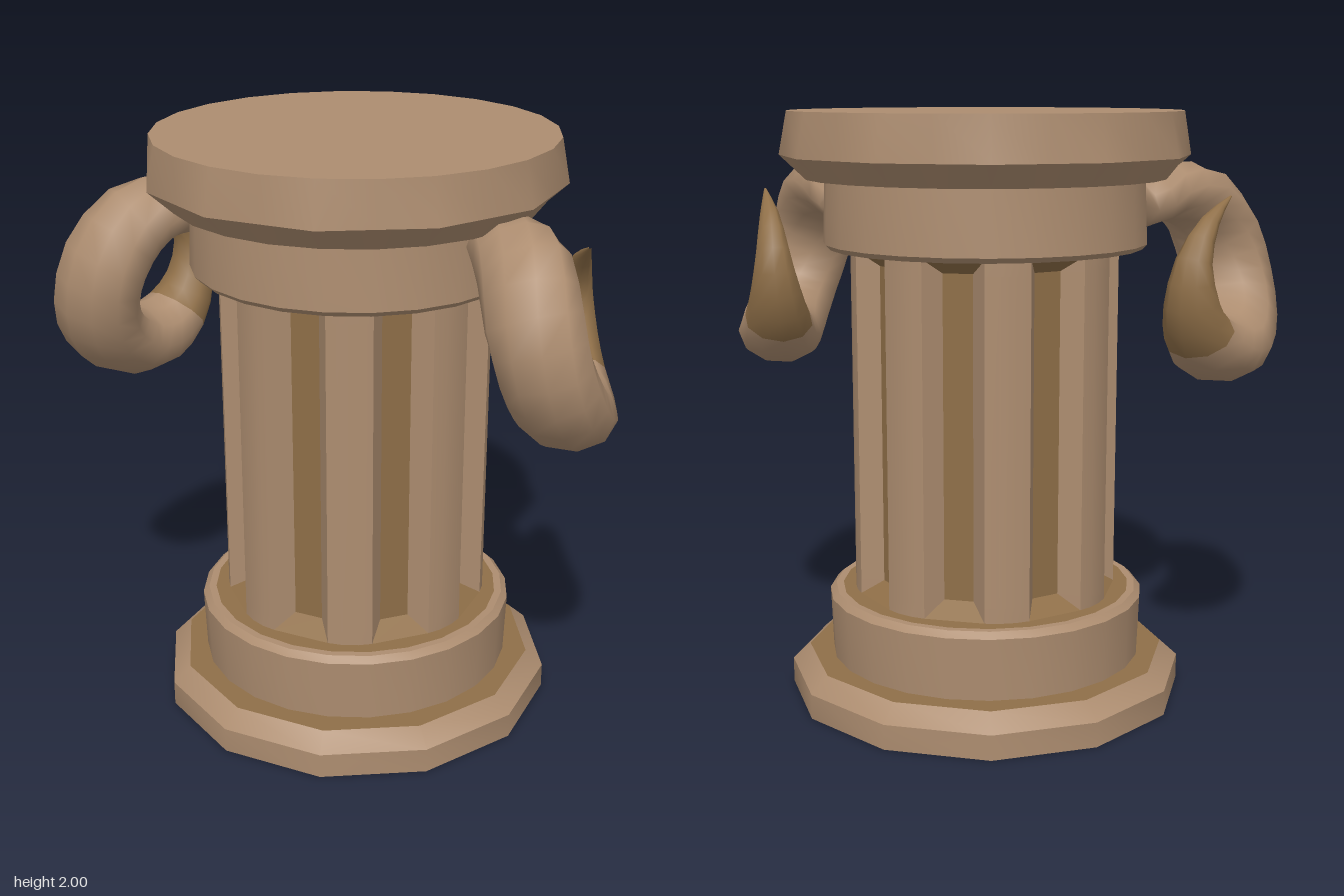
import * as THREE from 'three';
import { toCreasedNormals } from 'three/addons/utils/BufferGeometryUtils.js';

const RAD = Math.PI / 180;

export function createModel() {
  const model = new THREE.Group();
  const stone = new THREE.MeshStandardMaterial({ name: 'stone', color: 0xad8d70 });
  const darkStone = new THREE.MeshStandardMaterial({ name: 'darkStone', color: 0x8f6f48 });

  function add(name, geometry, material) {
    const mesh = new THREE.Mesh(geometry, material);
    mesh.name = name;
    model.add(mesh);
    return mesh;
  }

  // Turned part: profile of [radius, y] from bottom to top
  function turned(name, profile, sides, material, adjust) {
    const pts = profile.map(([r, y]) => new THREE.Vector2(r, y));
    const geo = new THREE.LatheGeometry(pts, sides, 15 * RAD);
    if (adjust) adjust(geo.attributes.position, profile.length);
    return add(name, toCreasedNormals(geo, 0.6), material);
  }

  // Plinth and lower drum
  turned('plinth', [[0, 0], [0.683, 0], [0.683, 0.085], [0.622, 0.14]], 12, stone);
  turned('plinthLedge', [[0.622, 0.14], [0.5, 0.14]], 12, darkStone);
  turned('lowerDrum', [[0.538, 0.14], [0.546, 0.35], [0.525, 0.37], [0.5, 0.37]], 24, stone);
  turned('lowerDrumLedge', [[0.5, 0.37], [0.3, 0.37]], 24, darkStone);

  // Capital drum and top slab
  turned('capitalUnderside', [[0.3, 1.55], [0.5, 1.55]], 24, darkStone);
  turned('capitalDrum', [[0.5, 1.55], [0.53, 1.55], [0.546, 1.567], [0.538, 1.78]], 24, stone);
  turned('slabUnderside', [[0.45, 1.78], [0.605, 1.78]], 24, darkStone);
  turned('topSlab', [[0.605, 1.78], [0.688, 1.855], [0.66, 2], [0, 2]], 24, stone, (p, n) => {
    // Flatten every other corner of the widest ring so it has twelve sides
    for (let i = 1; i < 24; i += 2) {
      const v = i * n + 1, f = Math.cos(15 * RAD);
      p.setX(v, p.getX(v) * f);
      p.setZ(v, p.getZ(v) * f);
    }
  });

  // Shaft with eight flutes that run out at both ends
  const section = [[-13, 0.45], [-7.5, 0.38], [7.5, 0.38], [13, 0.45], [19, 0.455], [26, 0.455]];
  const levels = [0.37, 0.42, 1.5, 1.55];
  const point = (i, level) => {
    const k = i % section.length;
    let [a, r] = section[k];
    if ((level === 0 || level === 3) && (k === 1 || k === 2)) [a, r] = section[k === 1 ? 0 : 3];
    const angle = (a + 45 * Math.floor(i / section.length)) * RAD;
    return new THREE.Vector3(Math.sin(angle) * r, levels[level], Math.cos(angle) * r);
  };
  const ridgePos = [], flutePos = [];
  const triangle = (list, a, b, c) => {
    const t = new THREE.Triangle(a, b, c);
    if (t.getArea() > 1e-7) [a, b, c].forEach((v) => list.push(v.x, v.y, v.z));
  };
  for (let i = 0; i < section.length * 8; i++) {
    const list = i % section.length === 1 ? flutePos : ridgePos;
    for (let l = 0; l < 3; l++) {
      const a = point(i, l), b = point(i + 1, l), c = point(i + 1, l + 1), d = point(i, l + 1);
      triangle(list, a, b, c);
      triangle(list, a, c, d);
    }
  }
  const fromTriangles = (list) => {
    const geo = new THREE.BufferGeometry();
    geo.setAttribute('position', new THREE.Float32BufferAttribute(list, 3));
    return toCreasedNormals(geo, 0.55);
  };
  add('shaftRidges', fromTriangles(ridgePos), stone);
  add('shaftFlutes', fromTriangles(flutePos), darkStone);

  // Curled horns: x, y, z and radius along the centre line
  const path = [
    [0.5, 1.7, 0.06, 0.085], [0.58, 1.735, 0.16, 0.1], [0.675, 1.695, 0.27, 0.112],
    [0.74, 1.57, 0.36, 0.118], [0.785, 1.42, 0.362, 0.118], [0.808, 1.3, 0.29, 0.12],
    [0.8, 1.225, 0.17, 0.122], [0.765, 1.222, 0.05, 0.112], [0.73, 1.28, -0.05, 0.092],
    [0.71, 1.39, -0.12, 0.07], [0.715, 1.53, -0.13, 0.046], [0.755, 1.65, -0.05, 0.025],
    [0.81, 1.725, 0.06, 0.003],
  ];
  const curve = new THREE.CatmullRomCurve3(path.map(([x, y, z]) => new THREE.Vector3(x, y, z)));
  const RINGS = 24, SIDES = 10, TIP_RING = 16;

  function horn(name, side) {
    const pos = [], index = [];
    const face = (a, b, c) => (side > 0 ? index.push(a, b, c) : index.push(a, c, b));
    for (let i = 0; i <= RINGS; i++) {
      const t = i / RINGS, s = t * (path.length - 1);
      const k = Math.min(Math.floor(s), path.length - 2);
      const r = THREE.MathUtils.lerp(path[k][3], path[k + 1][3], s - k);
      const centre = curve.getPoint(t), along = curve.getTangent(t);
      // Oval section, wider across the curl
      const wide = new THREE.Vector3(1, 0, 0).addScaledVector(along, -along.x).normalize();
      const narrow = new THREE.Vector3().crossVectors(along, wide);
      for (let j = 0; j < SIDES; j++) {
        const a = (j / SIDES) * Math.PI * 2;
        const v = centre.clone()
          .addScaledVector(wide, Math.cos(a) * r * 1.3)
          .addScaledVector(narrow, Math.sin(a) * r);
        pos.push(v.x * side, v.y, v.z);
      }
    }
    // Root cap, then the rings
    for (let j = 1; j < SIDES - 1; j++) face(0, j + 1, j);
    let tipStart = 0;
    for (let i = 0; i < RINGS; i++) {
      if (i === TIP_RING) tipStart = index.length;
      for (let j = 0; j < SIDES; j++) {
        const n = (j + 1) % SIDES;
        const a = i * SIDES + j, b = i * SIDES + n;
        face(a, b, b + SIDES);
        face(a, b + SIDES, a + SIDES);
      }
    }
    const geo = new THREE.BufferGeometry();
    geo.setAttribute('position', new THREE.Float32BufferAttribute(pos, 3));
    geo.setIndex(index);
    geo.addGroup(0, tipStart, 0);
    geo.addGroup(tipStart, index.length - tipStart, 1);
    geo.computeVertexNormals();
    add(name, geo, [stone, darkStone]);
  }
  horn('leftHorn', 1);
  horn('rightHorn', -1);

  return model;
}
